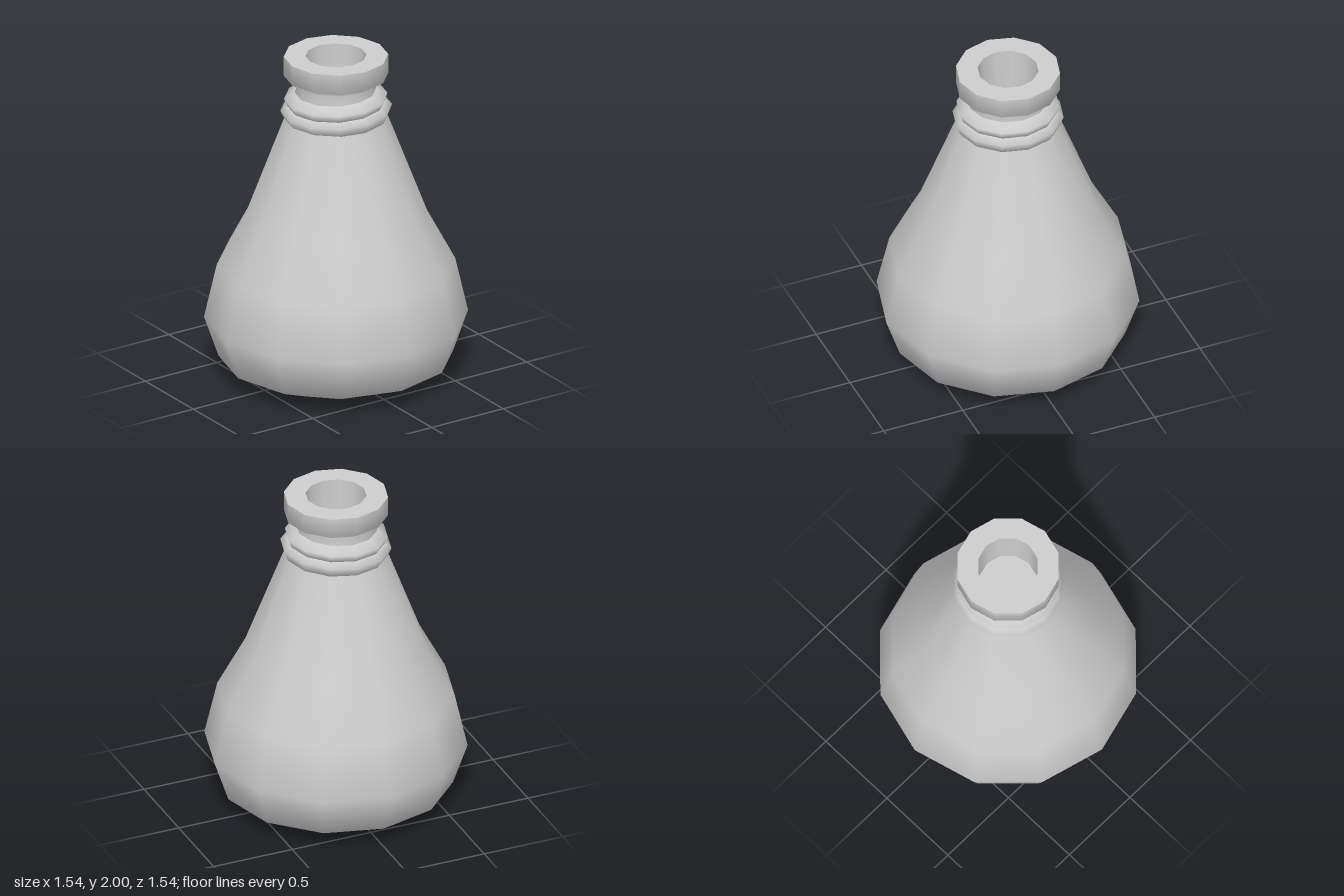
import * as THREE from 'three';

const SIDES = 12;

export function createModel() {
  const group = new THREE.Group();
  const clay = new THREE.MeshStandardMaterial({ color: 0xcccccc });
  clay.name = 'pale grey';

  // Revolved part; each profile runs so that its faces point outward
  const turned = (name, profile, parent = group) => {
    const points = profile.map(([r, y]) => new THREE.Vector2(r, y));
    const mesh = new THREE.Mesh(new THREE.LatheGeometry(points, SIDES), clay);
    mesh.name = name;
    parent.add(mesh);
    return mesh;
  };

  // Base and pear-shaped body, narrowing into the neck and flaring to the lip
  turned('base', [[0, 0], [0.41, 0]]);
  turned('body', [
    [0.41, 0], [0.685, 0.12], [0.77, 0.37], [0.695, 0.7], [0.53, 1.01],
    [0.3, 1.62], [0.22, 1.83], [0.305, 1.88], [0.305, 2],
  ]);

  // Flat rim and the hollow mouth
  turned('rim', [[0.305, 2], [0.178, 2]]);
  turned('mouthWall', [[0.178, 2], [0.17, 1.72]]);
  turned('mouthFloor', [[0.17, 1.72], [0, 1.72]]);

  // Two slightly tilted bands around the neck
  const bands = new THREE.Group();
  bands.name = 'neckBands';
  bands.position.y = 1.7;
  bands.rotation.z = 0.042;
  group.add(bands);
  turned('lowerBand', [[0.27, -0.085], [0.303, -0.085], [0.326, -0.028], [0.284, 0], [0.25, 0]], bands);
  turned('upperBand', [[0.25, -0.002], [0.284, -0.002], [0.302, 0.045], [0.24, 0.082], [0.21, 0.082]], bands);

  return group;
}
